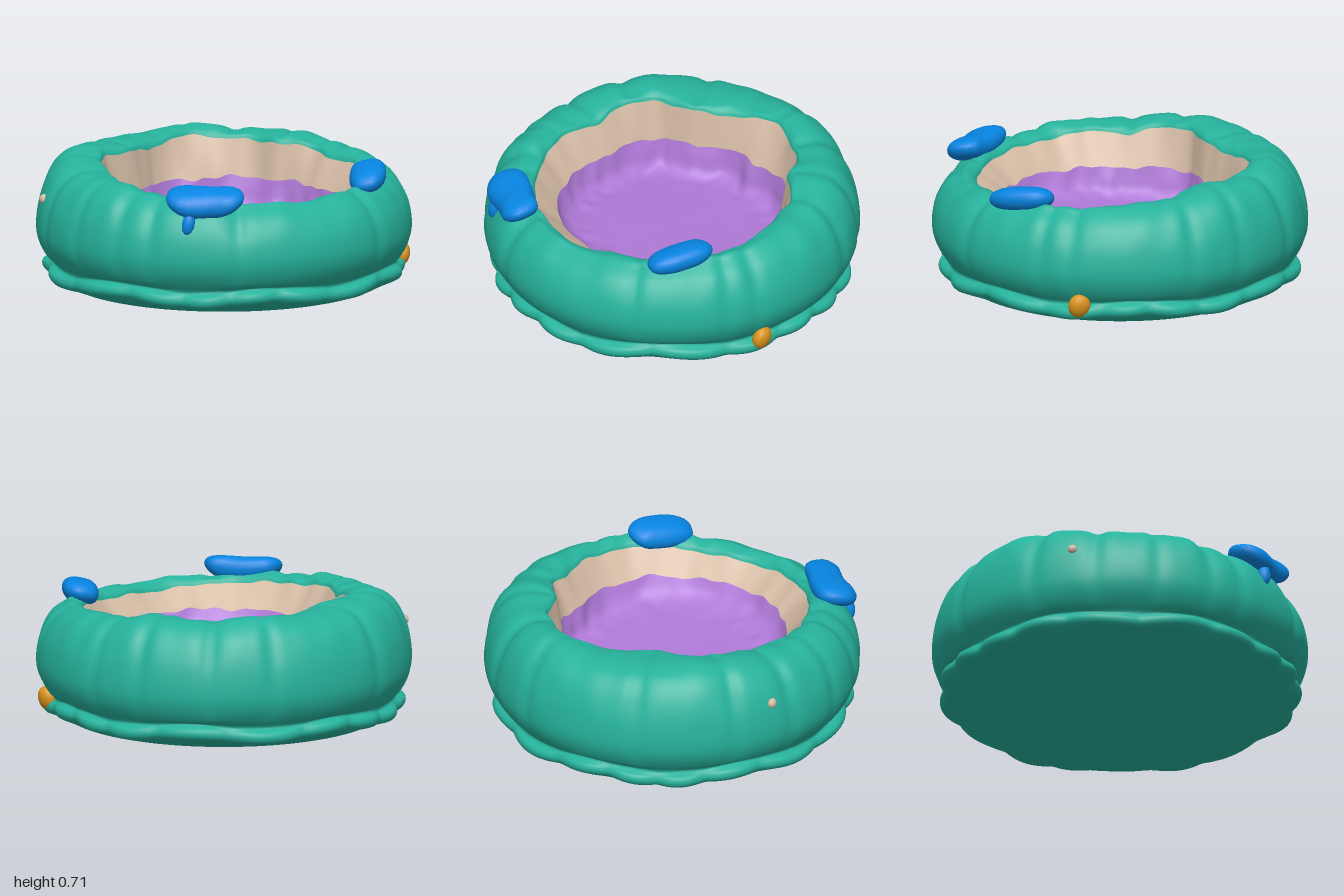
import * as THREE from 'three';

const mat = (name, color, side = THREE.FrontSide) => {
  const m = new THREE.MeshStandardMaterial({ color, side });
  m.name = name;
  return m;
};

// Smooth closed interpolation of values spaced evenly around the circle (from +x towards +z)
function around(values) {
  const n = values.length;
  return (a) => {
    const t = ((a / (Math.PI * 2)) * n + n) % n, i = Math.floor(t), f = t - i;
    const [p, q, r, s] = [-1, 0, 1, 2].map((k) => values[(i + k + n) % n]);
    return q + 0.5 * f * (r - p + f * (2 * p - 5 * q + 4 * r - s + f * (3 * (q - r) + s - p)));
  };
}

// Surface through rings: section(angle) returns a list of [x, y, z]
function loft(section, cols) {
  const pos = [], idx = [];
  let rows = 0;
  for (let c = 0; c < cols; c++) {
    const pts = section((c / cols) * Math.PI * 2);
    rows = pts.length;
    pts.forEach((p) => pos.push(...p));
  }
  for (let c = 0; c < cols; c++) {
    const d = (c + 1) % cols;
    for (let r = 0; r < rows - 1; r++) {
      const a = c * rows + r, b = d * rows + r;
      idx.push(a, a + 1, b, a + 1, b + 1, b);
    }
  }
  const g = new THREE.BufferGeometry();
  g.setAttribute('position', new THREE.Float32BufferAttribute(pos, 3));
  g.setIndex(idx);
  g.computeVertexNormals();
  return g;
}

// Turn [radius, y] pairs into a radial section, smoothed along its length
function radial(profile, steps) {
  return (a) => {
    const pts = profile(a).map(([r, y]) => new THREE.Vector3(r, y, 0));
    return new THREE.CatmullRomCurve3(pts, false, 'centripetal').getPoints(steps)
      .map((p) => [Math.max(p.x, 0) * Math.cos(a), Math.max(p.y, 0), Math.max(p.x, 0) * Math.sin(a)]);
  };
}

// Opening edge of the cover and top edge of the cushion, every 15 degrees
const openR = around([.67, .72, .74, .74, .74, .72, .75, .75, .75, .73, .71, .69,
  .67, .62, .65, .64, .57, .58, .62, .69, .67, .67, .61, .68]);
const padR = around([.58, .61, .63, .64, .63, .62, .63, .62, .62, .61, .60, .58,
  .56, .55, .57, .60, .57, .56, .57, .56, .60, .62, .60, .60]);
// Height of the crown: low at the front, high at the back
const crown = around([.645, .64, .63, .62, .605, .59, .585, .59, .605, .62, .63, .65,
  .66, .66, .695, .705, .695, .69, .68, .715, .69, .685, .69, .67]);

// Soft gathers and narrow pleats in the cloth
const pleats = [.45, .62, 1.15, 2.05, 2.55, 2.75, 3.05, 3.4, 3.75, 4.3, 5.0, 5.35, 5.75, 6.05];
const pleat = (a) => pleats.reduce((s, p) => s + Math.exp(-(((a - p) / 0.045) ** 2)), 0);
const gather = (a) => Math.sin(11 * a + 1) * 0.5 + Math.sin(19 * a + 2.4 * Math.sin(2 * a)) * 0.35
  + Math.sin(29 * a + 0.7) * 0.25;
const edgeY = (a) => crown(a) - 0.045 + 0.01 * gather(a + 0.4);
const edgeR = (a) => openR(a) + 0.008 * gather(a);

function coverProfile(a) {
  const g = gather(a), p = pleat(a), H = crown(a) + 0.008 * g - 0.012 * p;
  // scalloped hem
  const hem = 0.032 * Math.abs(Math.sin(9 * a + 0.8 * Math.sin(3 * a)));
  const e = edgeR(a), hy = 0.012 * Math.sin(7 * a + 1);
  const y = (k) => 0.3 + (H - 0.3) * k;
  return [
    [0, 0.004], [0.45, 0.002], [0.74, 0], [0.82, 0.014], [0.875, 0.04],
    // hem roll
    [0.915 + hem, 0.062 + hy], [0.932 + hem, 0.09 + hy], [0.925 + hem, 0.118 + hy], [0.915, 0.14 + hy],
    // puffed wall
    [0.943, 0.17], [0.98 - 0.006 * p, 0.235], [0.997 - 0.01 * p, 0.31], [0.986 - 0.014 * p, y(0.36)],
    [0.957 - 0.018 * p + 0.004 * g, y(0.6)], [0.913 - 0.018 * p + 0.005 * g, y(0.8)],
    // crown and turned-in edge
    [0.85 - 0.014 * p, y(0.94)], [(0.85 + e) / 2 + 0.02, y(1)], [e + 0.04, y(0.975)],
    [e + 0.01, edgeY(a) + 0.02], [e, edgeY(a)],
  ];
}

const padEdge = (a) => Math.min(padR(a), edgeR(a) - 0.03) + 0.006 * gather(a + 1);
const padY = (a) => 0.45 + 0.012 * gather(a + 1);
const liningProfile = (a) => {
  const e = edgeR(a), r = padEdge(a), top = edgeY(a), low = padY(a);
  return [0, 0.35, 0.7, 1].map((t) => [e + (r - e) * t, top + (low - top) * t]);
};
// Cushion floor rises gently towards the front
const cushionProfile = (a) => {
  const r = padEdge(a), f = 0.01 * gather(a), s = Math.sin(a), front = Math.max(s, 0);
  const floor = (d) => 0.3 + 0.06 * s * d + 0.006 * Math.sin(3 * a) * d;
  return [[r, padY(a)], [r - 0.015 - 0.02 * front + f, 0.39], [r - 0.035 - 0.05 * front + f, 0.335 + 0.02 * s],
    [r - 0.08 - 0.06 * front, floor(r - 0.08) + 0.006 + f * 0.6], [0.4, floor(0.4)], [0.2, floor(0.2)], [0, 0.3]];
};

// Rounded pebble from a plan outline [x, z]; lift(x, z) bends it up or down
function pebble(outline, thickness, lift) {
  const curve = new THREE.CatmullRomCurve3(outline.map(([x, z]) => new THREE.Vector3(x, 0, z)), true);
  const n = outline.length;
  const cx = outline.reduce((s, p) => s + p[0], 0) / n, cz = outline.reduce((s, p) => s + p[1], 0) / n;
  return loft((a) => {
    const p = curve.getPoint(a / (Math.PI * 2)), pts = [];
    for (let i = 0; i <= 12; i++) {
      const t = -Math.PI / 2 + (i / 12) * Math.PI;
      const s = Math.pow(Math.max(Math.cos(t), 0), 0.65);
      const x = cx + (p.x - cx) * s, z = cz + (p.z - cz) * s;
      pts.push([x, lift(x - cx, z - cz) + thickness * Math.sin(t), z]);
    }
    return pts;
  }, 32);
}

export function createModel() {
  const group = new THREE.Group();
  const green = mat('green cloth', 0x26b29c, THREE.DoubleSide);
  const beige = mat('beige lining', 0xd4bba4, THREE.DoubleSide);
  const purple = mat('purple cushion', 0xb07ad8, THREE.DoubleSide);
  const blue = mat('blue', 0x0785e2);
  const orange = mat('orange', 0xda941c);
  const add = (name, geometry, material) => {
    const m = new THREE.Mesh(geometry, material);
    m.name = name;
    group.add(m);
    return m;
  };

  // Bed
  add('cover', loft(radial(coverProfile, 57), 240), green);
  add('lining', loft(radial(liningProfile, 9), 240), beige);
  add('cushion', loft(radial(cushionProfile, 24), 240), purple);

  // Pebbles resting on the front rim
  add('rightPebble', pebble([[-.735, .6], [-.67, .515], [-.6, .505], [-.5, .57], [-.42, .65], [-.355, .72],
    [-.4, .83], [-.48, .845], [-.57, .775], [-.71, .69]], 0.07,
  (x, z) => 0.612 + 0.7 * (x * 0.75 + z * 0.66) ** 2 - 0.2 * (z * 0.77 - x * 0.63)), blue);
  add('leftPebble', pebble([[.375, .72], [.4, .62], [.46, .52], [.52, .455], [.62, .475], [.645, .55],
    [.6, .66], [.53, .75], [.45, .785]], 0.065, (x) => 0.63 + 0.2 * x), blue);

  // Small lumps on the outside
  const lump = (name, material, [x, y, z], [sx, sy, sz], tilt = 0) => {
    const m = add(name, new THREE.SphereGeometry(1, 16, 12), material);
    m.position.set(x, y, z);
    m.scale.set(sx, sy, sz);
    m.rotation.z = tilt;
  };
  lump('rightPebbleTail', blue, [-.657, .51, .69], [.034, .062, .035], -0.2);
  lump('sideKnob', orange, [.87, .13, .374], [.045, .068, .06], -0.25);
  lump('backKnob', beige, [-.9, .49, -.36], [.024, .027, .026]);

  return group;
}
